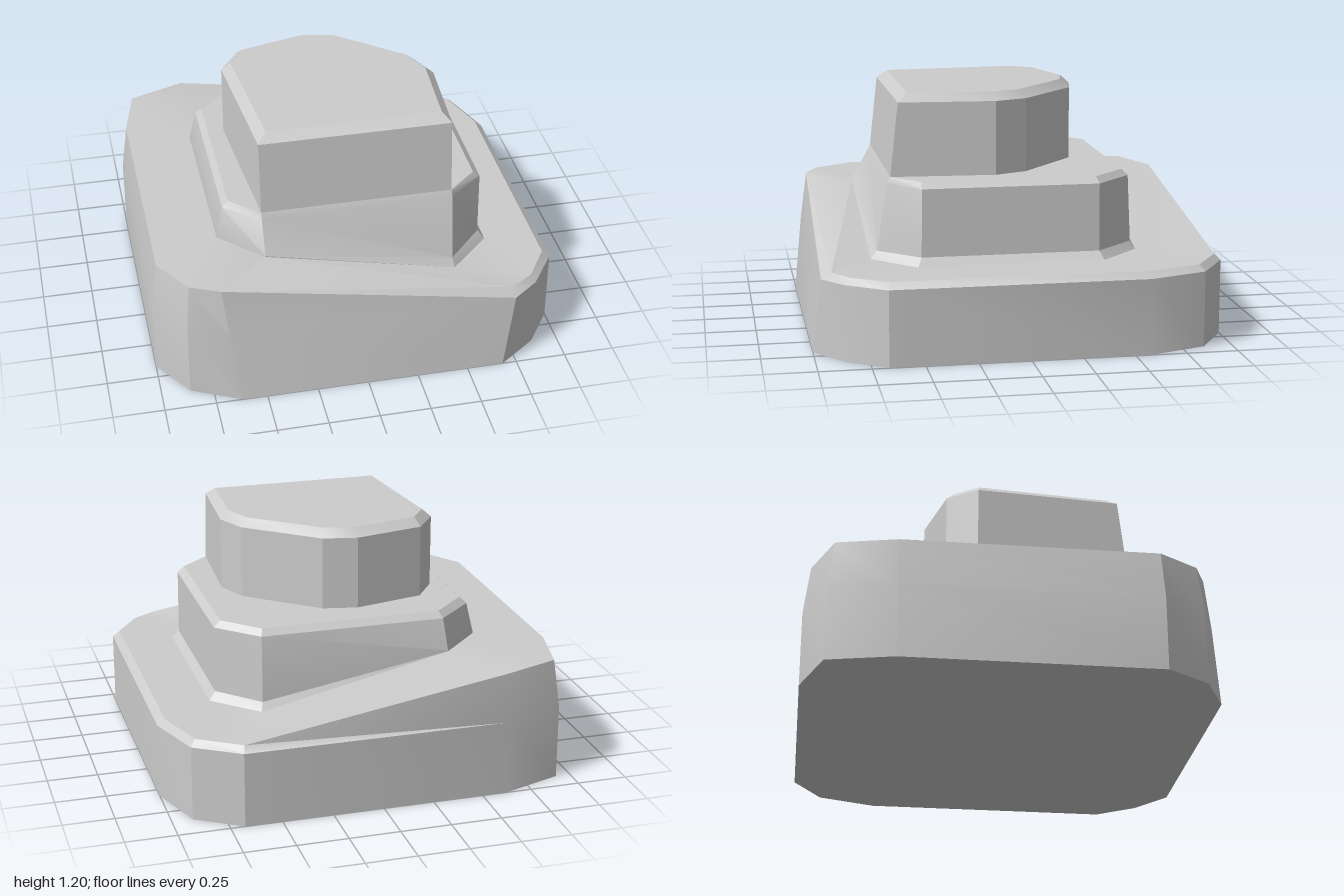
import * as THREE from 'three';
import { toCreasedNormals } from 'three/addons/utils/BufferGeometryUtils.js';

// Joins rings of [x, y, z] points, listed from the bottom up, and caps the ends
function loft(name, rings, material, capTop = true) {
  const pos = [];
  const tri = (a, b, c) => {
    const same = (p, q) => p.every((v, i) => v === q[i]);
    if (same(a, b) || same(b, c) || same(a, c)) return;
    pos.push(...a, ...b, ...c);
  };
  const n = rings[0].length;
  for (let r = 0; r < rings.length - 1; r++) {
    const lo = rings[r], hi = rings[r + 1];
    for (let i = 0; i < n; i++) {
      const j = (i + 1) % n;
      tri(lo[j], lo[i], hi[j]);
      tri(lo[i], hi[i], hi[j]);
    }
  }
  const top = rings[rings.length - 1];
  for (let i = 1; i < n - 1; i++) {
    tri(rings[0][0], rings[0][i], rings[0][i + 1]);
    if (capTop) tri(top[0], top[i + 1], top[i]);
  }
  const geo = new THREE.BufferGeometry();
  geo.setAttribute('position', new THREE.Float32BufferAttribute(pos, 3));
  const mesh = new THREE.Mesh(toCreasedNormals(geo, 0.4), material);
  mesh.name = name;
  return mesh;
}

// Lifts a plan outline of [x, z] points to a height, fixed or by rule of x
const lift = (outline, y) =>
  outline.map(([x, z]) => [x, typeof y === 'function' ? y(x) : y, z]);

// Copies an outline with some of its points replaced
const replace = (outline, changes) => outline.map((p, i) => changes[i] ?? p);

export function createModel() {
  const group = new THREE.Group();
  const material = new THREE.MeshStandardMaterial({ color: 0xcccccc });
  const slope = (x) => (x < 0 ? 0.61 : 0.4);

  // Outlines run from the back left, clockwise as seen from above
  const baseFoot = [
    [-0.62, -1], [0.68, -1], [0.9, -0.86], [1, -0.57], [1, 0.67], [0.87, 0.86],
    [0.68, 1], [-0.62, 1], [-0.86, 0.885], [-1, 0.67], [-1, -0.57], [-0.925, -0.895],
  ];
  const baseWall = replace(baseFoot, { 6: [0.74, 0.96], 7: [-0.67, 0.96] });
  const baseRim = [
    [-0.62, -0.97], [0.67, -0.97], [0.875, -0.835], [0.963, -0.57], [0.963, 0.66], [0.85, 0.835],
    [0.735, 0.91], [-0.695, 0.925], [-0.84, 0.86], [-0.967, 0.66], [-0.967, -0.57], [-0.9, -0.865],
  ];
  const stepFoot = [
    [-0.445, -0.615], [0.5, -0.615], [0.71, -0.41], [0.71, 0.495],
    [0.5, 0.7], [-0.445, 0.7], [-0.65, 0.495], [-0.65, -0.41],
  ];

  // Base, with a ramped top reaching in to the foot of the step
  const inner = [0, 1, 1, 2, 3, 3, 4, 5, 5, 6, 7, 7].map((i) => stepFoot[i]);
  group.add(loft('base', [
    lift(baseFoot, 0), lift(baseWall, 0.37), lift(baseRim, slope), lift(inner, slope),
  ], material, false));

  // Middle step, with a flared skirt on its low side
  const stepSkirt = replace(stepFoot, {
    1: [0.487, -0.59], 2: [0.677, -0.392], 3: [0.677, 0.475], 4: [0.495, 0.67],
  });
  const stepWall = [
    [-0.43, -0.575], [0.485, -0.575], [0.675, -0.39], [0.675, 0.47],
    [0.497, 0.615], [-0.445, 0.615], [-0.615, 0.48], [-0.615, -0.4],
  ];
  const stepTop = [
    [-0.415, -0.545], [0.475, -0.545], [0.64, -0.38], [0.64, 0.47],
    [0.495, 0.6], [-0.445, 0.6], [-0.585, 0.47], [-0.585, -0.38],
  ];
  group.add(loft('middleStep', [
    lift(stepFoot, slope), lift(stepSkirt, (x) => (x < 0 ? 0.615 : 0.44)),
    lift(stepWall, 0.77), lift(stepTop, 0.8),
  ], material));

  // Upper block, leaning back at the front and bevelled on top
  const blockWall = [
    [-0.4, -0.305], [-0.05, -0.39], [0.12, -0.355], [0.455, -0.07],
    [0.525, 0.09], [0.495, 0.56], [-0.445, 0.56], [-0.505, -0.155],
  ];
  const blockFoot = replace(blockWall, { 5: [0.495, 0.6], 6: [-0.445, 0.6] });
  const blockTop = [
    [-0.38, -0.26], [-0.05, -0.345], [0.1, -0.31], [0.42, -0.04],
    [0.48, 0.1], [0.455, 0.51], [-0.4, 0.51], [-0.46, -0.145],
  ];
  group.add(loft('upperBlock', [
    lift(blockFoot, 0.8), lift(blockWall, 1.16), lift(blockTop, 1.2),
  ], material));

  return group;
}
